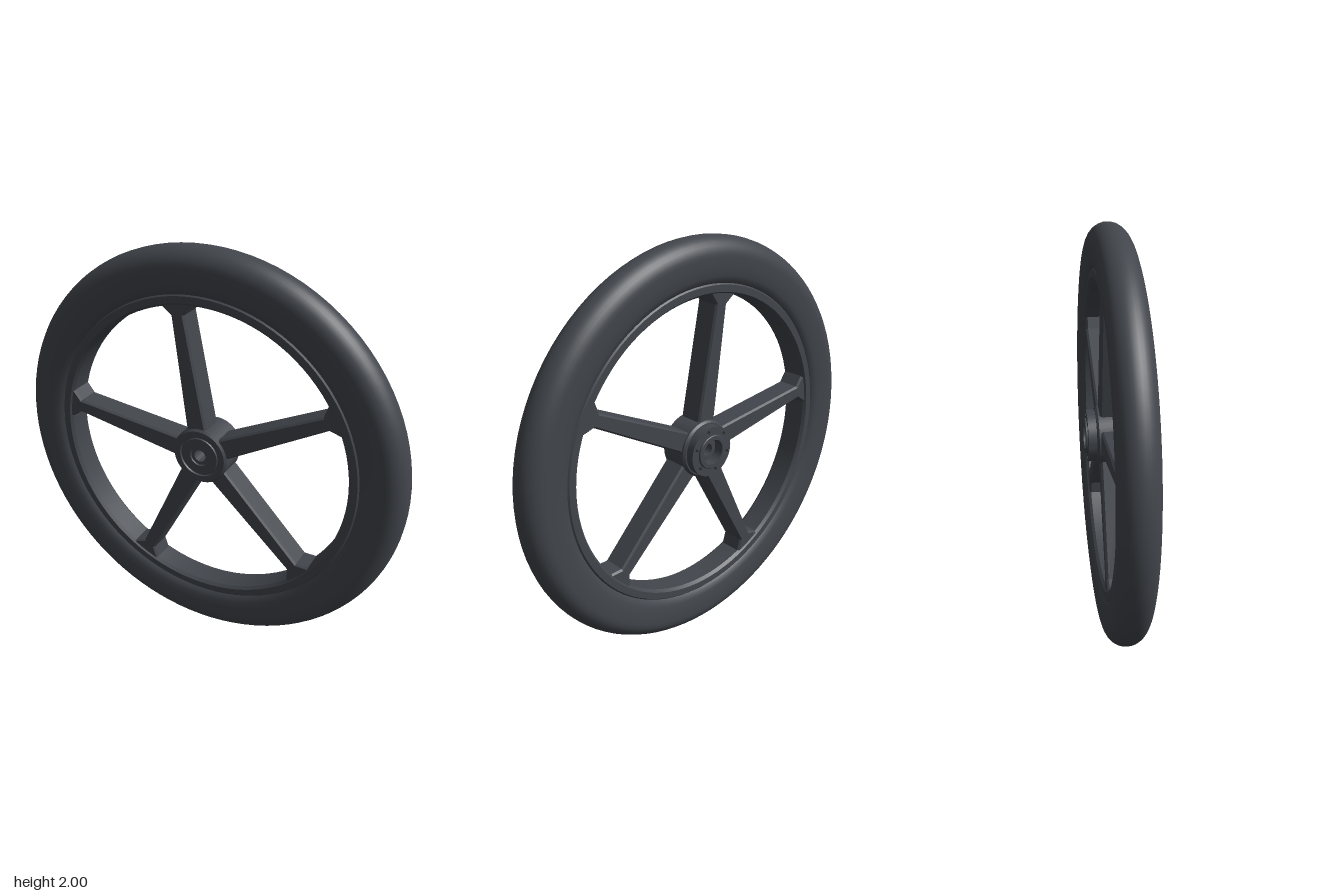
import * as THREE from 'three';
import { toCreasedNormals } from 'three/addons/utils/BufferGeometryUtils.js';

const material = new THREE.MeshStandardMaterial({ color: 0x42464c });
const MID = 0.02; // middle plane of the tyre along z

function part(name, geometry, crease = 0.6) {
  const mesh = new THREE.Mesh(toCreasedNormals(geometry, crease), material);
  mesh.name = name;
  return mesh;
}

// Closed ring around the z axis from [radius, z] points, counterclockwise
function ring(name, points, segments) {
  const profile = [...points, points[0]].map(([r, z]) => new THREE.Vector2(r, z));
  return part(name, new THREE.LatheGeometry(profile, segments).rotateX(Math.PI / 2));
}

function circlePath(x, y, r) {
  return new THREE.Path().absarc(x, y, r, 0, Math.PI * 2, true);
}

export function createModel() {
  const model = new THREE.Group();
  model.name = 'wheel';
  const wheel = new THREE.Group();
  wheel.name = 'wheelAssembly';
  wheel.position.y = 1;
  model.add(wheel);

  // Tyre: half-round tread, nearly flat walls that curl in at the bead
  const tread = [];
  for (let i = 0; i <= 16; i++) {
    const a = -Math.PI / 2 + (i / 16) * Math.PI;
    tread.push([0.912 + 0.088 * Math.cos(a), MID + 0.088 * Math.sin(a)]);
  }
  const wall = [[0.86, 0.086], [0.825, 0.081], [0.803, 0.074], [0.79, 0.062]];
  wheel.add(ring('tyre', [
    ...wall.map(([r, z]) => [r, MID - z]).reverse(),
    ...tread,
    ...wall.map(([r, z]) => [r, MID + z]),
  ], 96));

  // Rim: chamfered band inside the tyre
  wheel.add(ring('rim', [
    [0.752, MID - 0.07], [0.785, MID - 0.07], [0.80, MID - 0.055],
    [0.80, MID + 0.055], [0.785, MID + 0.07], [0.752, MID + 0.07],
    [0.74, MID + 0.055], [0.74, MID - 0.055],
  ], 96));

  // Five tapered spokes with flared feet at the rim
  const bevel = 0.008;
  const half = [[0.10, 0.052], [0.695, 0.033], [0.742, 0.078], [0.765, 0.078]]
    .map(([r, w]) => [r, w - bevel]);
  const outline = [...half.map(([r, w]) => [r, -w]), ...half.slice().reverse()]
    .map(([r, w]) => new THREE.Vector2(r, w));
  const spokeGeometry = new THREE.ExtrudeGeometry(new THREE.Shape(outline), {
    depth: 0.104, bevelEnabled: true, bevelSize: bevel, bevelThickness: 0.01, bevelSegments: 1,
  }).translate(0, 0, MID - 0.052);
  for (let i = 0; i < 5; i++) {
    const spoke = part('spoke' + (i + 1), spokeGeometry, 0.3);
    spoke.rotation.z = THREE.MathUtils.degToRad(27.5 + 72 * i);
    wheel.add(spoke);
  }

  // Hub barrel: bored through, grooved front face, recessed back
  wheel.add(ring('hub', [
    [0.03, -0.07], [0.05, -0.07], [0.05, -0.06], [0.132, -0.06], [0.142, -0.05],
    [0.142, 0.082], [0.132, 0.092], [0.104, 0.092], [0.101, 0.084],
    [0.095, 0.084], [0.092, 0.09], [0.05, 0.09], [0.046, 0.084], [0.03, 0.084],
  ], 48));

  // Rear flange with bolt holes
  const flange = new THREE.Shape().absarc(0, 0, 0.125, 0, Math.PI * 2, false);
  flange.holes.push(circlePath(0, 0, 0.062));
  for (let i = 0; i < 6; i++) {
    const a = (i / 6) * Math.PI * 2 + 0.3;
    flange.holes.push(circlePath(0.104 * Math.cos(a), 0.104 * Math.sin(a), 0.011));
  }
  wheel.add(part('rearFlange', new THREE.ExtrudeGeometry(flange, {
    depth: 0.04, bevelEnabled: false, curveSegments: 40,
  }).translate(0, 0, -0.1)));

  // Raised collar around the rear recess
  wheel.add(ring('rearCollar', [
    [0.062, -0.11], [0.082, -0.11], [0.085, -0.107], [0.085, -0.095], [0.062, -0.095],
  ], 48));

  return model;
}
